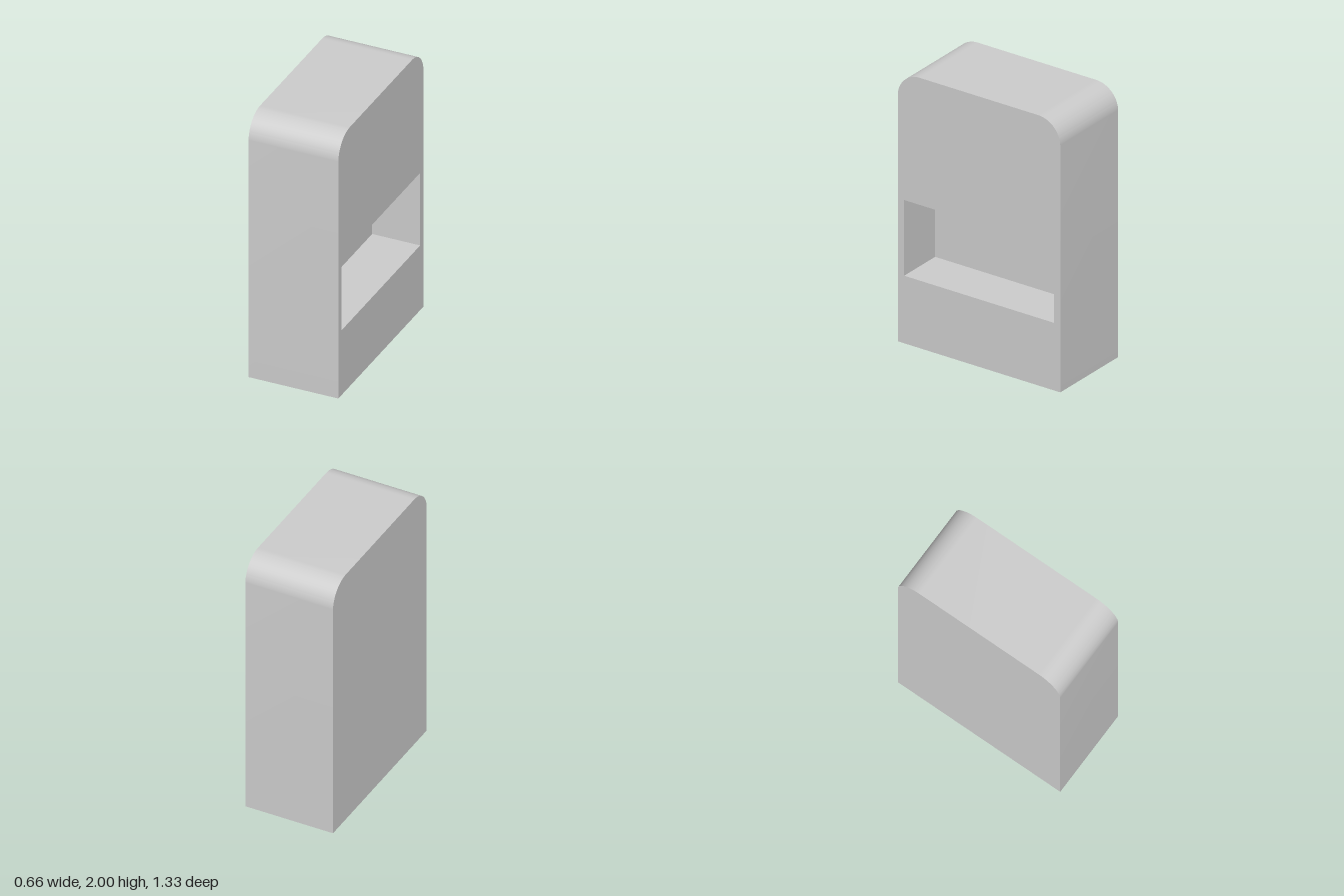
import * as THREE from 'three';
import { toCreasedNormals } from 'three/addons/utils/BufferGeometryUtils.js';

const WIDTH = 0.66, HALF_DEPTH = 0.665, HEIGHT = 2, RADIUS = 0.18;
const RECESS = { half: 0.613, bottom: 0.5, top: 1.06, depth: 0.353 };

// Side profile: square at the bottom, rounded at the two upper corners
function bodyProfile() {
  const s = new THREE.Shape();
  s.moveTo(-HALF_DEPTH, 0);
  s.lineTo(HALF_DEPTH, 0);
  s.lineTo(HALF_DEPTH, HEIGHT - RADIUS);
  s.absarc(HALF_DEPTH - RADIUS, HEIGHT - RADIUS, RADIUS, 0, Math.PI / 2, false);
  s.absarc(-HALF_DEPTH + RADIUS, HEIGHT - RADIUS, RADIUS, Math.PI / 2, Math.PI, false);
  s.closePath();
  return s;
}

function recessProfile() {
  const { half, bottom, top } = RECESS;
  return new THREE.Shape([[-half, bottom], [half, bottom], [half, top], [-half, top]]
    .map(([u, v]) => new THREE.Vector2(u, v)));
}

// Extruded side walls only, without the end caps
function wallsOf(shape, depth) {
  const solid = new THREE.ExtrudeGeometry(shape, { depth, bevelEnabled: false, curveSegments: 16 });
  const { start, count } = solid.groups[1];
  const walls = new THREE.BufferGeometry();
  const position = solid.getAttribute('position').array.slice(start * 3, (start + count) * 3);
  walls.setAttribute('position', new THREE.BufferAttribute(position, 3));
  return toCreasedNormals(walls, Math.PI / 6);
}

export function createModel() {
  const group = new THREE.Group();
  group.name = 'recessedBlock';
  const material = new THREE.MeshStandardMaterial({ color: 0xcccccc });
  const inward = new THREE.MeshStandardMaterial({ color: 0xcccccc, side: THREE.BackSide });

  // Profiles lie in the z-y plane after a quarter turn; x is the distance along the width
  function add(name, geometry, x, mat = material) {
    geometry.rotateY(Math.PI / 2);
    geometry.translate(x, 0, 0);
    const mesh = new THREE.Mesh(geometry, mat);
    mesh.name = name;
    group.add(mesh);
  }

  const leftX = WIDTH / 2, floorX = leftX - RECESS.depth;

  // Outer shell: rounded wall, open left panel, closed right panel
  add('outerWall', wallsOf(bodyProfile(), WIDTH), -leftX);
  const openPanel = bodyProfile();
  openPanel.holes.push(recessProfile());
  add('leftPanel', new THREE.ShapeGeometry(openPanel, 16), leftX);
  const closedPanel = new THREE.ShapeGeometry(bodyProfile(), 16);
  closedPanel.rotateY(Math.PI);
  add('rightPanel', closedPanel, -leftX);

  // Rectangular recess in the left side
  add('recessWalls', wallsOf(recessProfile(), RECESS.depth), floorX, inward);
  add('recessBack', new THREE.ShapeGeometry(recessProfile()), floorX);

  return group;
}
